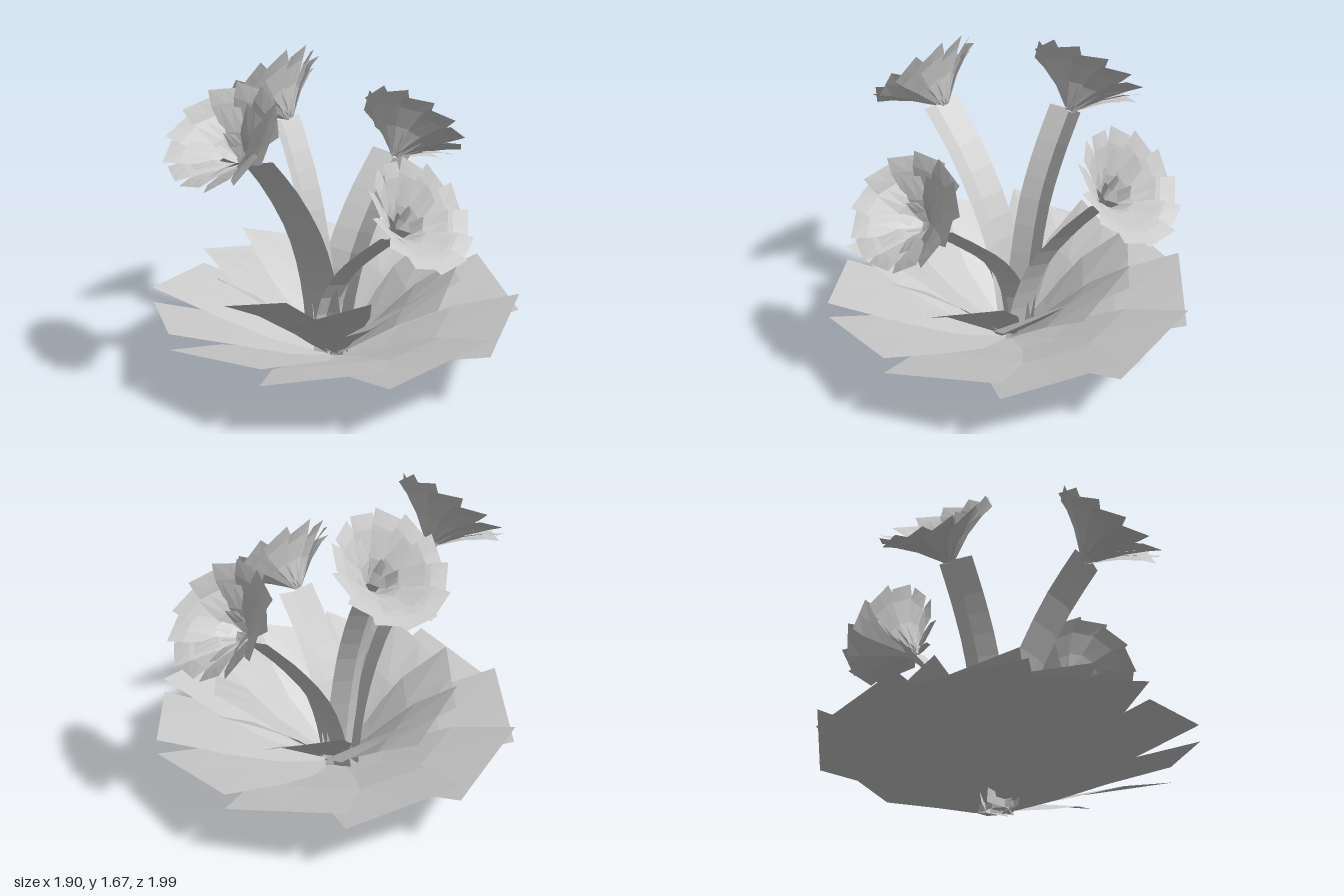
import * as THREE from 'three';

const material = new THREE.MeshStandardMaterial({ color: 0xcccccc, side: THREE.DoubleSide, flatShading: true });

// Thin sheet through rows of points, each row holding the same number of points
function sheet(name, rows) {
  const cols = rows[0].length;
  const index = [];
  for (let i = 0; i < rows.length - 1; i++) {
    for (let j = 0; j < cols - 1; j++) {
      const a = i * cols + j, b = a + cols;
      index.push(a, a + 1, b, b, a + 1, b + 1);
    }
  }
  const geometry = new THREE.BufferGeometry().setFromPoints(rows.flat());
  geometry.setIndex(index);
  geometry.computeVertexNormals();
  const mesh = new THREE.Mesh(geometry, material);
  mesh.name = name;
  return mesh;
}

// Ring of overlapping blunt blades; profile rows are [radius, height, half width, sideways tilt]
function rosette(name, bladeName, count, profile, phase = 0) {
  const ring = new THREE.Group();
  ring.name = name;
  const rows = profile.map(([r, y, w, tilt]) =>
    [-1, 0, 1].map(s => new THREE.Vector3(r, y - s * tilt, s * w)));
  for (let i = 0; i < count; i++) {
    const blade = sheet(bladeName, rows);
    blade.rotation.y = -((i + phase) / count) * Math.PI * 2;
    ring.add(blade);
  }
  return ring;
}

// Folded ribbon along a curve, with its width lying sideways to the outward angle
function stem(points, angle, halfWidth) {
  const curve = new THREE.CatmullRomCurve3(points.map(p => new THREE.Vector3(...p)));
  const side = new THREE.Vector3(-Math.sin(angle), 0, Math.cos(angle));
  const rows = [];
  for (let i = 0; i <= 10; i++) {
    const p = curve.getPoint(i / 10);
    const keel = curve.getTangent(i / 10).cross(side).normalize();
    if (keel.y > 0) keel.negate();
    rows.push([
      p.clone().addScaledVector(side, -halfWidth),
      p.clone().addScaledVector(keel, 0.045),
      p.clone().addScaledVector(side, halfWidth),
    ]);
  }
  return sheet('stem', rows);
}

// Flared flower opening outward and upward
function flower(position, angle, tilt) {
  const head = new THREE.Group();
  head.name = 'flower';
  head.add(
    rosette('outerPetals', 'petal', 12,
      [[0.01, 0, 0.02, 0], [0.13, 0.125, 0.06, 0.012], [0.23, 0.2, 0.085, 0.02], [0.3, 0.235, 0.085, 0.025]]),
    rosette('middlePetals', 'petal', 8,
      [[0.01, 0.01, 0.015, 0], [0.1, 0.125, 0.05, 0.015], [0.2, 0.205, 0.055, 0.025]], 0.5),
    rosette('innerPetals', 'petal', 5,
      [[0.01, 0.01, 0.01, 0], [0.05, 0.08, 0.03, 0.01], [0.08, 0.15, 0.025, 0.02]]),
  );
  head.position.set(...position);
  head.rotation.set(0, -angle, -tilt, 'YZX');
  return head;
}

export function createModel() {
  const model = new THREE.Group();
  model.name = 'floweringPlant';

  // Two tiers of broad leaves
  model.add(
    rosette('outerLeaves', 'leaf', 10,
      [[0, 0.015, 0.04, 0], [0.3, 0.13, 0.19, 0.02], [0.58, 0.245, 0.29, 0.035], [0.945, 0.355, 0.31, 0.045]]),
    rosette('innerLeaves', 'leaf', 10,
      [[0.01, 0.03, 0.04, 0], [0.2, 0.2, 0.13, 0.02], [0.4, 0.38, 0.2, 0.045], [0.64, 0.54, 0.21, 0.068]]),
  );

  // Stems with their flowers
  const q = Math.PI / 2;
  const stalks = [
    { angle: 0, width: 0.13, tilt: 0.85, head: [0.56, 1.02, -0.02],
      path: [[0.02, 0.01, -0.06], [0.08, 0.3, -0.06], [0.18, 0.56, -0.06], [0.37, 0.83, -0.06], [0.57, 1.05, -0.05]] },
    { angle: q, width: 0.115, tilt: 0.85, head: [-0.14, 0.87, 0.48],
      path: [[0, 0.01, -0.06], [-0.01, 0.35, -0.01], [-0.04, 0.58, 0.13], [-0.08, 0.74, 0.3], [-0.11, 0.88, 0.47]] },
    { angle: 2 * q, width: 0.13, tilt: 0.72, head: [-0.55, 1.23, -0.13],
      path: [[-0.01, 0.01, -0.06], [-0.04, 0.3, -0.06], [-0.1, 0.56, -0.06], [-0.2, 0.8, -0.06], [-0.37, 1.07, -0.07], [-0.54, 1.27, -0.08]] },
    { angle: 3 * q, width: 0.1, tilt: 0.74, head: [0.1, 1.28, -0.39],
      path: [[0.01, 0.01, -0.06], [0.02, 0.4, -0.1], [0.03, 0.8, -0.18], [0.05, 1.07, -0.28], [0.07, 1.29, -0.39]] },
  ];
  for (const s of stalks) {
    model.add(stem(s.path, s.angle, s.width), flower(s.head, s.angle, s.tilt));
  }
  return model;
}
